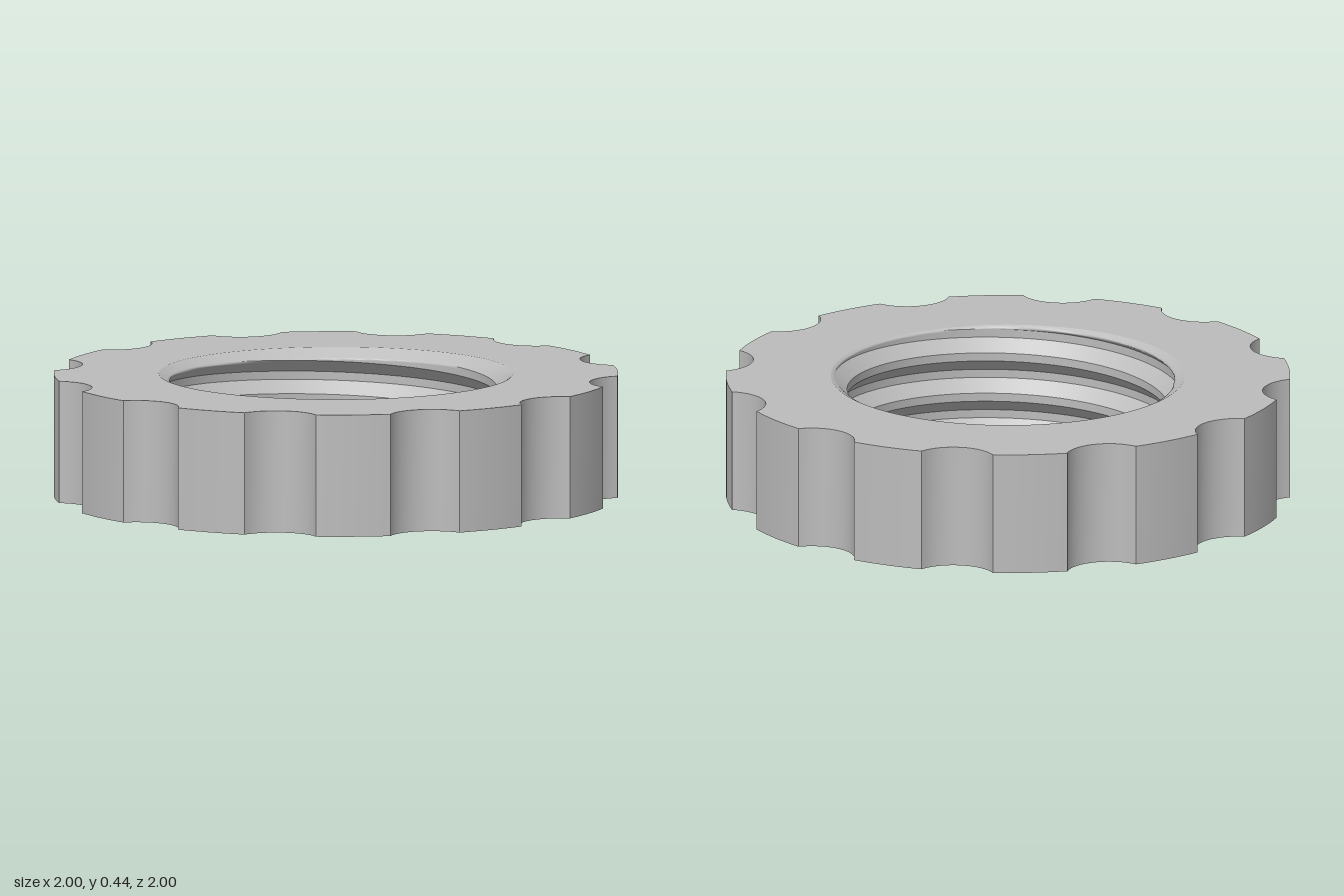
import * as THREE from 'three';

const H = 0.44;             // ring height
const NOTCHES = 12;
const RIM = 0.633, ROOT = 0.622, CREST = 0.575;   // bore radii
const PITCH = 0.15, CHAMFER = 0.035;
const TURN = Math.PI * 2, COLS = 120;

// Smooth surface sampled from fn(u, v) -> [x, y, z]
function sheet(nu, nv, fn) {
  const pos = [], index = [];
  for (let j = 0; j <= nv; j++)
    for (let i = 0; i <= nu; i++) pos.push(...fn(i / nu, j / nv));
  for (let j = 0; j < nv; j++)
    for (let i = 0; i < nu; i++) {
      const a = j * (nu + 1) + i, b = a + 1, c = a + nu + 1, d = c + 1;
      index.push(a, b, d, a, d, c);
    }
  const g = new THREE.BufferGeometry();
  g.setAttribute('position', new THREE.Float32BufferAttribute(pos, 3));
  g.setIndex(index);
  g.computeVertexNormals();
  return g;
}

// Points of one finger notch and of the land that follows it
function notchPoint(k, t) {
  const cx = 1.08, r = Math.hypot(0.13, 0.08), m = Math.atan2(0.13, 0.08);
  const a = (t * 2 - 1) * m;
  return new THREE.Vector2(cx - r * Math.cos(a), r * Math.sin(a))
    .rotateAround(new THREE.Vector2(), k * TURN / NOTCHES);
}
function landPoint(k, t) {
  const half = Math.atan2(0.13, 1), R = Math.hypot(1, 0.13), step = TURN / NOTCHES;
  const a = k * step + half + t * (step - 2 * half);
  return new THREE.Vector2(R * Math.cos(a), R * Math.sin(a));
}

// Radius of the chamfers at the two mouths of the bore
function chamferRadius(y) {
  const edge = Math.min(y, H - y);
  return RIM - (RIM - CREST) * edge / CHAMFER;
}

export function createModel() {
  const group = new THREE.Group();
  const metal = new THREE.MeshStandardMaterial({ color: 0xbcbcbc });
  metal.name = 'grey metal';
  const add = (name, geometry, parent = group) => {
    const mesh = new THREE.Mesh(geometry, metal);
    mesh.name = name;
    parent.add(mesh);
    return mesh;
  };

  // Notched outer wall
  const grip = new THREE.Group();
  grip.name = 'grip';
  group.add(grip);
  const outline = [];
  const N = 16, L = 8;
  for (let k = 0; k < NOTCHES; k++) {
    for (const [name, fn, n] of [['notch', notchPoint, N], ['land', landPoint, L]]) {
      add(name, sheet(n, 1, (u, v) => {
        const p = fn(k, u);
        return [p.x, v * H, -p.y];
      }), grip);
      for (let i = 0; i < n; i++) outline.push(fn(k, i / n));
    }
  }

  // Flat top and bottom faces
  const shape = new THREE.Shape(outline);
  const hole = [];
  for (let i = 0; i < COLS; i++) {
    const a = -i / COLS * TURN;
    hole.push(new THREE.Vector2(RIM * Math.cos(a), RIM * Math.sin(a)));
  }
  shape.holes.push(new THREE.Path(hole));
  add('topFace', new THREE.ShapeGeometry(shape).rotateX(-Math.PI / 2).translate(0, H, 0));
  add('bottomFace', new THREE.ShapeGeometry(shape).rotateX(Math.PI / 2));

  // Right-handed internal thread: one strip per flank, crest and root,
  // cut off at the faces and by the chamfers
  const thread = new THREE.Group();
  thread.name = 'thread';
  group.add(thread);
  const profile = [
    ['crest', 0, CREST, 0.03, CREST],
    ['upperFlank', 0.03, CREST, 0.075, ROOT],
    ['root', 0.075, ROOT, 0.105, ROOT],
    ['lowerFlank', 0.105, ROOT, 0.15, CREST],
  ];
  for (let k = -4; k <= 3; k++) {
    for (const [name, y0, r0, y1, r1] of profile) {
      const base = 0.285 + k * PITCH;
      if (base + y0 - PITCH > H || base + y1 + PITCH < 0) continue;
      add(name, sheet(COLS, 8, (u, v) => {
        const a = (1 - u) * TURN;
        const rise = PITCH * (a / TURN - 0.375);
        const y = THREE.MathUtils.clamp(base + rise + THREE.MathUtils.lerp(y0, y1, v), 0, H);
        const r = Math.max(THREE.MathUtils.lerp(r0, r1, v), chamferRadius(y));
        return [r * Math.cos(a), y, -r * Math.sin(a)];
      }), thread);
    }
  }
  return group;
}
